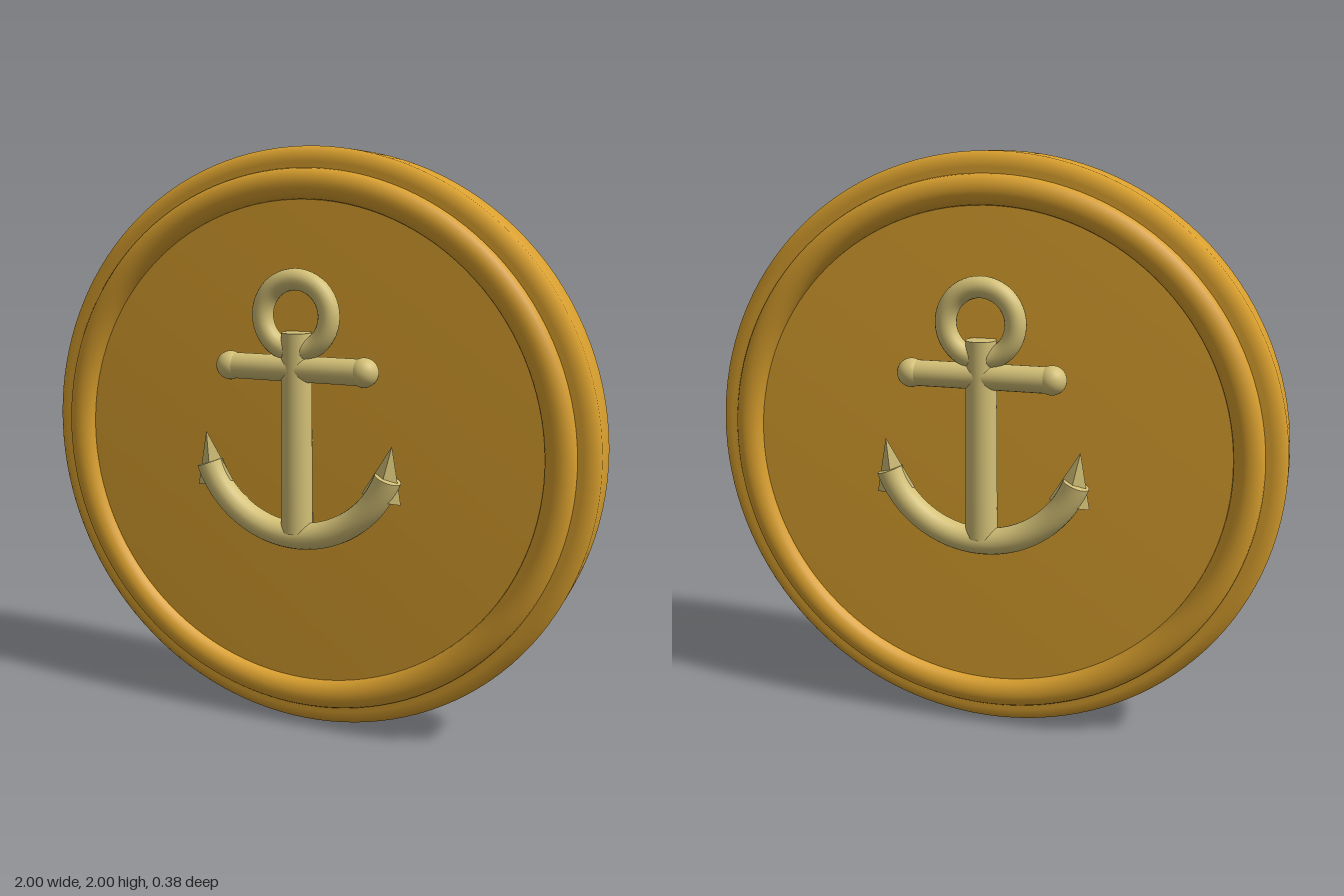
import * as THREE from 'three';

const gold = new THREE.MeshStandardMaterial({ name: 'gold', color: 0xdaa02e });
const paleBrass = new THREE.MeshStandardMaterial({ name: 'pale brass', color: 0xd3c076 });

const RELIEF_Z = 0.143; // depth of the anchor's centre plane

function add(parent, name, geometry, material, x = 0, y = 0, z = 0) {
  const mesh = new THREE.Mesh(geometry, material);
  mesh.name = name;
  mesh.position.set(x, y, z);
  parent.add(mesh);
  return mesh;
}

// Anchor relief, heights measured from the coin's centre
function createAnchor() {
  const anchor = new THREE.Group();
  add(anchor, 'anchorRing', new THREE.TorusGeometry(0.119, 0.036, 20, 48), paleBrass, 0, 0.455, RELIEF_Z);
  add(anchor, 'shank', new THREE.CylinderGeometry(0.051, 0.055, 0.68, 32), paleBrass, 0, 0.06, RELIEF_Z - 0.006);

  const stock = add(anchor, 'stock', new THREE.CylinderGeometry(0.044, 0.044, 0.49, 24), paleBrass, 0, 0.28, RELIEF_Z);
  stock.rotation.z = Math.PI / 2;

  // Curved arms: an arc of 70 degrees to each side of the crown
  const R = 0.35, tube = 0.046, half = THREE.MathUtils.degToRad(70), centreY = 0.055;
  const arms = add(anchor, 'arms', new THREE.TorusGeometry(R, tube, 20, 56, half * 2), paleBrass, 0, centreY, RELIEF_Z);
  arms.rotation.z = -Math.PI / 2 - half;

  for (const side of [-1, 1]) {
    add(anchor, 'stockKnob', new THREE.SphereGeometry(0.049, 24, 16), paleBrass, side * 0.242, 0.28, RELIEF_Z);

    // Flat end of the arm
    const cap = add(anchor, 'armEnd', new THREE.CircleGeometry(tube, 20), paleBrass,
      side * R * Math.sin(half), centreY - R * Math.cos(half), RELIEF_Z);
    cap.lookAt(cap.position.clone().add(new THREE.Vector3(side * Math.cos(half), Math.sin(half), 0)));

    // Four-sided pointed fluke, flattened in depth
    const flukeGeometry = new THREE.ConeGeometry(0.07, 0.184, 4).toNonIndexed();
    flukeGeometry.scale(1, 1, 0.55);
    flukeGeometry.computeVertexNormals();
    const fluke = add(anchor, 'fluke', flukeGeometry, paleBrass, side * 0.324, -0.046, RELIEF_Z);
    fluke.rotation.z = -side * 0.19;
  }
  return anchor;
}

export function createModel() {
  const model = new THREE.Group();
  model.name = 'anchorCoin';

  // Disc with softened, bevelled rim
  const profile = [[0, -0.1], [0.95, -0.1], [1, -0.067], [1, 0.067], [0.95, 0.1], [0, 0.1]]
    .map(([r, z]) => new THREE.Vector2(r, z));
  const discGeometry = new THREE.LatheGeometry(profile, 128);
  discGeometry.rotateX(Math.PI / 2);
  add(model, 'disc', discGeometry, gold, 0, 1, 0);

  // Raised ring and anchor on both faces
  for (const [name, turn] of [['front', 0], ['back', Math.PI]]) {
    const face = new THREE.Group();
    face.name = name + 'Face';
    face.position.y = 1;
    face.rotation.y = turn;
    const border = add(face, 'raisedBorder', new THREE.TorusGeometry(0.88, 0.05, 20, 128), gold, 0, 0, 0.1);
    border.scale.z = 0.8;
    const anchor = createAnchor();
    anchor.name = name + 'Anchor';
    face.add(anchor);
    model.add(face);
  }
  return model;
}
